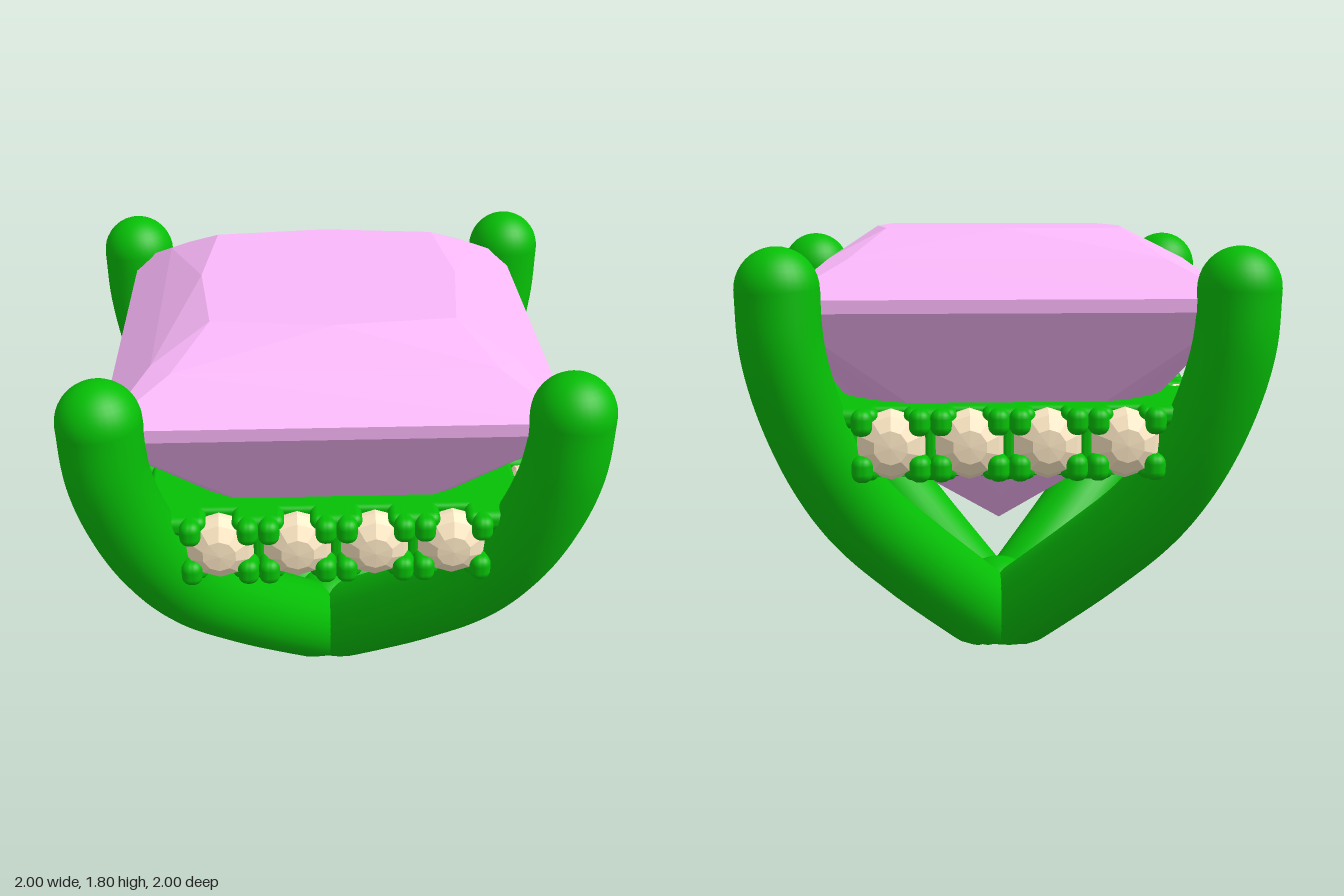
import * as THREE from 'three';
import { ConvexGeometry } from 'three/addons/geometries/ConvexGeometry.js';
import { RoundedBoxGeometry } from 'three/addons/geometries/RoundedBoxGeometry.js';

const metal = new THREE.MeshStandardMaterial({ color: 0x06c006 });
const gemMat = new THREE.MeshStandardMaterial({ color: 0xfab8fa, flatShading: true });
const stoneMat = new THREE.MeshStandardMaterial({ color: 0xffeac6, flatShading: true });

function add(parent, name, geometry, material, x = 0, y = 0, z = 0) {
  const mesh = new THREE.Mesh(geometry, material);
  mesh.name = name;
  mesh.position.set(x, y, z);
  parent.add(mesh);
  return mesh;
}

// Square-cut centre gem: hull of the crown, girdle and pavilion corners
function gemGeometry() {
  const points = [new THREE.Vector3(0, 0.53, 0)];
  const quarter = [
    [0.845, 1.5, 0.845], [0.845, 1.55, 0.845],       // girdle
    [0.6, 1.69, 0.675], [-0.6, 1.69, 0.675],         // crown break
    [0.46, 1.8, 0.46], [0, 1.8, 0.51],               // table
    [0, 0.84, 0.47], [0, 0.69, 0.28],                // pavilion ridge
  ];
  for (let i = 0; i < 4; i++) {
    for (const p of quarter) {
      points.push(new THREE.Vector3(...p).applyAxisAngle(new THREE.Vector3(0, 1, 0), i * Math.PI / 2));
    }
  }
  return new ConvexGeometry(points);
}

// Curved prong in the diagonal plane, thicker below, flattened at the ground
function prongGeometry() {
  const path = [[0, 0.055], [0.07, 0.13], [0.18, 0.245], [0.37, 0.45], [0.57, 0.69],
    [0.7, 0.92], [0.785, 1.15], [0.835, 1.38], [0.845, 1.59]];
  const curve = new THREE.CatmullRomCurve3(path.map(([d, y]) => new THREE.Vector3(d, y, d)));
  const rings = 64, sides = 32;
  const geometry = new THREE.TubeGeometry(curve, rings, 0.155, sides);
  const pos = geometry.attributes.position;
  const p = new THREE.Vector3();
  for (let r = 0; r <= rings; r++) {
    const centre = curve.getPointAt(r / rings);
    const scale = 1 + 0.12 * (1 - THREE.MathUtils.smoothstep(centre.y, 0.3, 1.1));
    for (let s = 0; s <= sides; s++) {
      const i = r * (sides + 1) + s;
      p.fromBufferAttribute(pos, i).sub(centre).multiplyScalar(scale).add(centre);
      pos.setXYZ(i, p.x, Math.max(0, p.y), p.z);
    }
  }
  return geometry;
}

// Ball joining the prongs, cut flat at the ground
function jointGeometry() {
  const profile = [new THREE.Vector2(0, 0)];
  for (let i = 0; i <= 16; i++) {
    const a = -0.81 + (Math.PI / 2 + 0.81) * i / 16;
    profile.push(new THREE.Vector2(0.2 * Math.cos(a), 0.145 + 0.2 * Math.sin(a)));
  }
  return new THREE.LatheGeometry(profile, 32);
}

// Small round stone with its table facing +z
function stoneGeometry() {
  const profile = [[0, -0.12], [0.135, 0], [0.135, 0.025], [0.115, 0.065], [0.065, 0.1], [0, 0.105]];
  return new THREE.LatheGeometry(profile.map(([r, y]) => new THREE.Vector2(r, y)), 10).rotateX(Math.PI / 2);
}

export function createModel() {
  const model = new THREE.Group();
  model.name = 'gemSetting';
  add(model, 'centreGem', gemGeometry(), gemMat);
  add(model, 'baseJoint', jointGeometry(), metal);

  const prong = prongGeometry();
  const tip = new THREE.SphereGeometry(0.155, 32, 20);
  const bar = new RoundedBoxGeometry(1.3, 0.275, 0.22, 3, 0.02);
  const saddle = new RoundedBoxGeometry(0.2, 0.075, 0.2, 3, 0.03);
  const divider = new RoundedBoxGeometry(0.05, 0.24, 0.12, 3, 0.02);
  const claw = new RoundedBoxGeometry(0.08, 0.1, 0.22, 3, 0.035);
  const stone = stoneGeometry();

  for (let i = 0; i < 4; i++) {
    const side = new THREE.Group();
    side.name = 'side' + (i + 1);
    side.rotation.y = i * Math.PI / 2;
    model.add(side);

    add(side, 'prong', prong, metal);
    add(side, 'prongTip', tip, metal, 0.845, 1.59, 0.845);

    // Gallery bar with four claw-set stones
    add(side, 'galleryBar', bar, metal, 0, 1.002, 0.61);
    for (let s = 0; s < 4; s++) {
      const x = (s - 1.5) * 0.296;
      add(side, 'smallStone', stone, stoneMat, x, 1, 0.735);
      for (const sx of [-1, 1]) {
        for (const sy of [-1, 1]) add(side, 'claw', claw, metal, x + sx * 0.108, 1.002 + sy * 0.088, 0.735);
      }
    }
    // Bridges between neighbouring stones
    for (let s = -2; s <= 2; s++) {
      add(side, 'stoneDivider', divider, metal, s * 0.296, 1.002, 0.7);
      for (const sy of [-1, 1]) add(side, 'saddle', saddle, metal, s * 0.296, 1.002 + sy * 0.1, 0.7);
    }
  }
  return model;
}
